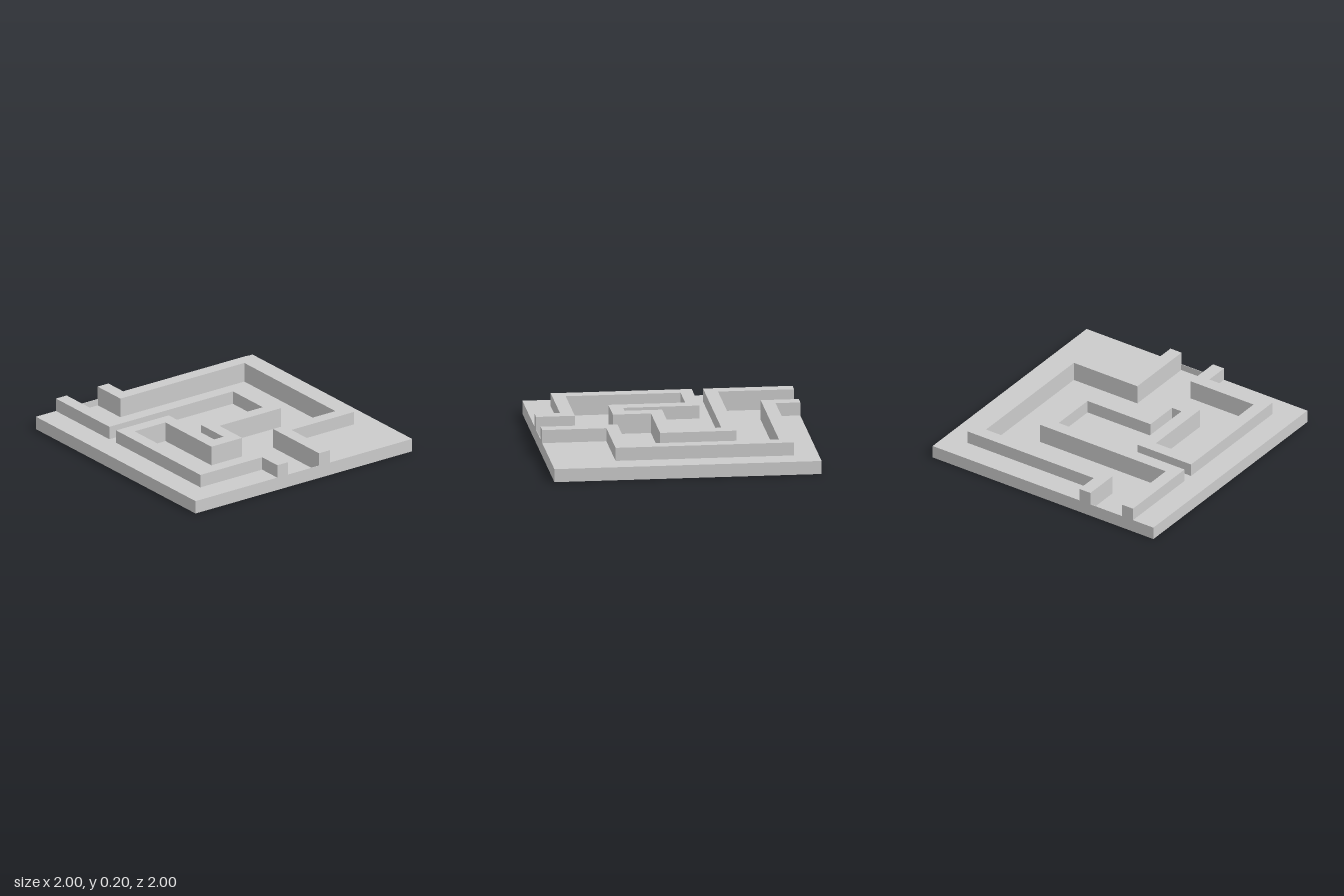
import * as THREE from 'three';

const material = new THREE.MeshStandardMaterial({ color: 0xcccccc, flatShading: true });

// Plan outlines as [x, z]: channel-side edge and land-side edge of each wall, back to front
const leftInner = [
  [-0.715, -1], [-0.715, -0.43], [0.425, -0.43], [0.425, 0.14], [-0.145, 0.14], [-0.145, 0.425],
  [-0.43, 0.425], [-0.43, -0.15], [-0.715, -0.15], [-0.715, 0.71], [-0.145, 0.71], [-0.145, 1],
];
const leftOuter = [
  [-0.815, -1], [-0.815, -0.33], [0.325, -0.33], [0.325, 0.045], [-0.245, 0.045], [-0.245, 0.325],
  [-0.33, 0.325], [-0.33, -0.245], [-0.815, -0.245], [-0.815, 0.81], [-0.245, 0.81], [-0.245, 1],
];
const rightInner = [
  [-0.43, -1], [-0.43, -0.715], [0.715, -0.715], [0.715, 0.425], [0.14, 0.425], [0.14, 1],
];
const rightOuter = [
  [-0.33, -1], [-0.33, -0.815], [0.815, -0.815], [0.815, 0.52], [0.24, 0.52], [0.24, 1],
];

function add(group, name, geometry, x = 0, y = 0, z = 0) {
  const mesh = new THREE.Mesh(geometry, material);
  mesh.name = name;
  mesh.position.set(x, y, z);
  group.add(mesh);
}

// Solid with the given plan outline between two heights
function slab(points, bottom, top) {
  const shape = new THREE.Shape(points.map(([x, z]) => new THREE.Vector2(x, z)));
  return new THREE.ExtrudeGeometry(shape, { depth: top - bottom, bevelEnabled: false })
    .rotateX(Math.PI / 2)
    .translate(0, top, 0);
}

export function createModel() {
  const group = new THREE.Group();
  group.name = 'channelTile';
  const floor = 0.05, land = 0.1, wallTop = 0.2;

  // Base plate, whose top is the sunken channel floor
  add(group, 'channelFloor', new THREE.BoxGeometry(2, floor, 2), 0, floor / 2, 0);

  // Land on each side of the channel
  add(group, 'leftBank', slab([...leftInner, [-1, 1], [-1, -1]], floor, land));
  add(group, 'rightBank', slab([...rightInner, [1, 1], [1, -1]], floor, land));

  // Raised walls along the channel
  add(group, 'leftWall', slab([...leftInner, ...[...leftOuter].reverse()], land, wallTop));
  add(group, 'rightWall', slab([...rightInner, ...[...rightOuter].reverse()], land, wallTop));

  // Thin lips closing the channel at the tile edges
  const lip = 0.004;
  add(group, 'backLip', new THREE.BoxGeometry(0.285, land - floor, lip), -0.5725, 0.075, -1 + lip / 2);
  add(group, 'frontLip', new THREE.BoxGeometry(0.285, land - floor, lip), -0.0025, 0.075, 1 - lip / 2);

  return group;
}
